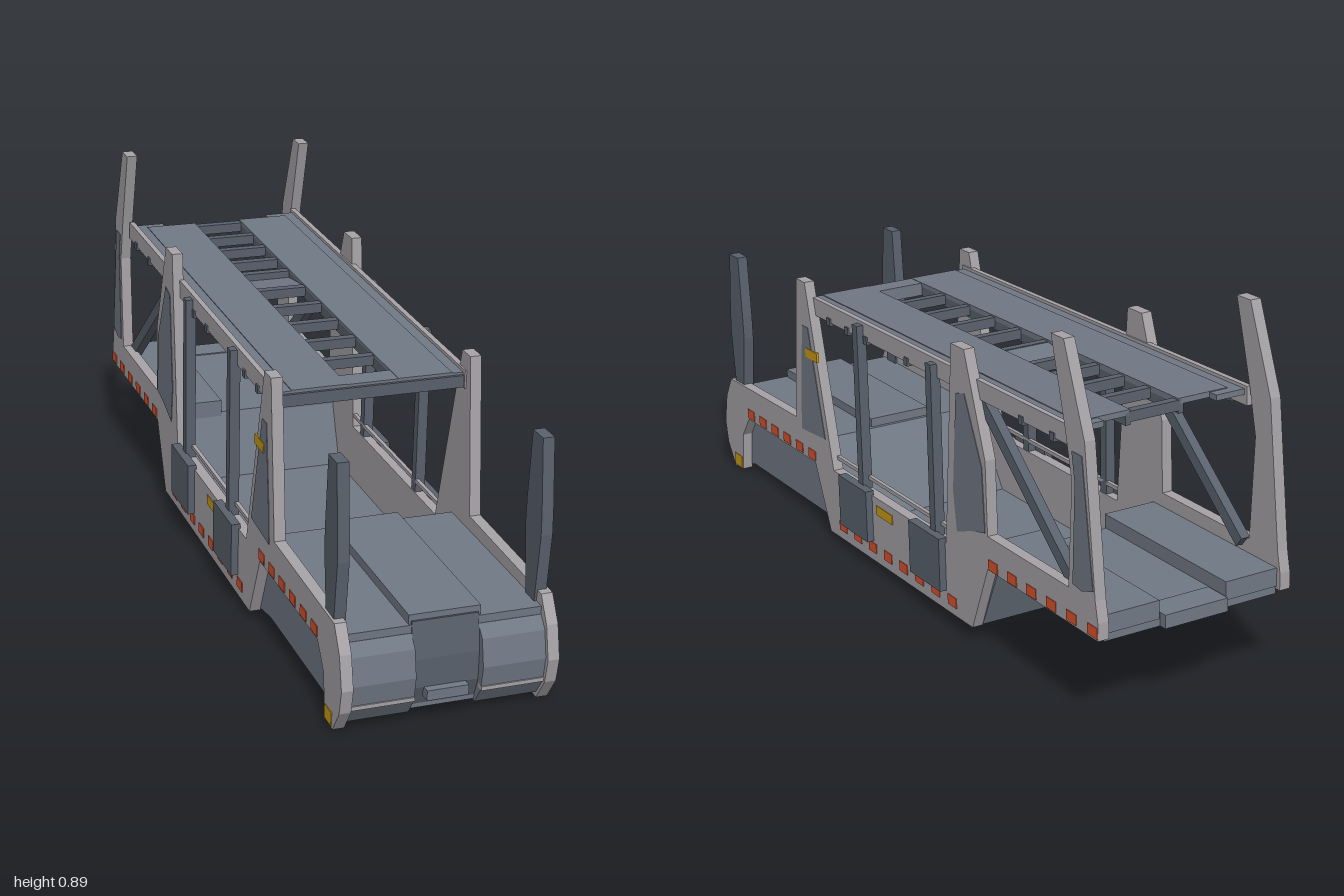
import * as THREE from 'three';

const mat = (name, color, side = THREE.FrontSide) => {
  const m = new THREE.MeshStandardMaterial({ color, side });
  m.name = name;
  return m;
};

export function createModel() {
  const light = mat('frame grey', 0xa6a2a6);
  const deckGrey = mat('deck grey', 0x707884);
  const steel = mat('dark steel', 0x59616c);
  const orange = mat('orange marker', 0xd8522e);
  const yellow = mat('yellow marker', 0xc89a12);

  const model = new THREE.Group();
  model.name = 'vehicleCarrier';
  const body = new THREE.Group();
  body.name = 'carrierBody';
  // the whole carrier stands turned and slightly tilted
  body.rotation.set(-0.012, -0.293, -0.028, 'YZX');
  body.position.y = -0.004;
  model.add(body);

  const add = (geo, m, name, parent = body) => {
    const mesh = new THREE.Mesh(geo, m);
    mesh.name = name;
    parent.add(mesh);
    return mesh;
  };
  // side profile [length, height] extruded across the width from z0 to z1
  const slab = (pts, z0, z1, m, name, parent) => {
    const shape = new THREE.Shape(pts.map((p) => new THREE.Vector2(p[0], p[1])));
    const geo = new THREE.ExtrudeGeometry(shape, { depth: z1 - z0, bevelEnabled: false });
    geo.translate(0, 0, z0);
    return add(geo, m, name, parent);
  };
  // box given by its limits
  const box = (x0, x1, y0, y1, z0, z1, m, name, parent) => {
    const geo = new THREE.BoxGeometry(x1 - x0, y1 - y0, z1 - z0);
    geo.translate((x0 + x1) / 2, (y0 + y1) / 2, (z0 + z1) / 2);
    return add(geo, m, name, parent);
  };
  // the same slab or box on both sides
  const slab2 = (pts, z0, z1, m, name, parent) => {
    slab(pts, z0, z1, m, name + 'Left', parent);
    slab(pts, -z1, -z0, m, name + 'Right', parent);
  };
  const box2 = (x0, x1, y0, y1, z0, z1, m, name, parent) => {
    box(x0, x1, y0, y1, z0, z1, m, name + 'Left', parent);
    box(x0, x1, y0, y1, -z1, -z0, m, name + 'Right', parent);
  };

  // side frames: beam, three pillars, wheel arch and end leg in one outline
  slab2([
    [-0.972, 0.208], [-0.505, 0.211], [-0.427, 0.033], [0.31, 0.03], [0.385, 0.2],
    [0.795, 0.2], [0.84, 0.14], [0.853, 0.034], [0.905, 0.03], [0.945, 0.09],
    [0.956, 0.15], [0.937, 0.23], [0.9, 0.29], [0.488, 0.298],
    [0.447, 0.691], [0.398, 0.691], [0.278, 0.21],
    [-0.31, 0.21], [-0.36, 0.727], [-0.42, 0.727], [-0.505, 0.48], [-0.508, 0.295],
    [-0.855, 0.295], [-0.873, 0.55], [-0.85, 0.66], [-0.797, 0.865], [-0.848, 0.865],
    [-0.926, 0.655], [-0.962, 0.3], [-0.972, 0.25],
  ], 0.232, 0.26, light, 'sideFrame');

  // inset panels on the pillars
  const panels = [
    [[-0.955, 0.32], [-0.91, 0.305], [-0.874, 0.31], [-0.887, 0.55], [-0.876, 0.62], [-0.916, 0.62]],
    [[-0.498, 0.3], [-0.438, 0.285], [-0.367, 0.26], [-0.354, 0.36], [-0.379, 0.61], [-0.418, 0.62], [-0.49, 0.46]],
    [[0.318, 0.285], [0.453, 0.275], [0.447, 0.36], [0.422, 0.57], [0.39, 0.57]],
  ];
  panels.forEach((p, i) => slab2(p, 0.256, 0.2615, deckGrey, 'pillarPanel' + (i + 1)));

  // orange dashes and yellow plates on the sides
  const dashes = (start, step, count, y, name) => {
    for (let i = 0; i < count; i++) {
      const x = start + i * step;
      box2(x - 0.02, x + 0.02, y - 0.013, y + 0.013, 0.256, 0.262, orange, name + (i + 1));
    }
  };
  dashes(-0.951, 0.084, 6, 0.226, 'rearDash');
  dashes(-0.333, 0.081, 8, 0.067, 'middleDash');
  dashes(0.4, 0.075, 6, 0.218, 'frontDash');
  box2(-0.04, 0.043, 0.165, 0.19, 0.256, 0.262, yellow, 'middlePlate');
  box2(0.342, 0.407, 0.488, 0.513, 0.256, 0.263, yellow, 'pillarPlate');
  box2(0.856, 0.9, 0.036, 0.07, 0.256, 0.262, yellow, 'footPlate');

  // lower deck: rear bed, sunken middle and raised front
  slab([
    [-0.955, 0.195], [-0.505, 0.195], [-0.43, 0.036], [0.31, 0.036], [0.39, 0.05], [0.9, 0.05],
    [0.905, 0.262], [0.38, 0.262], [0.25, 0.06], [-0.41, 0.06], [-0.475, 0.225], [-0.955, 0.225],
  ], -0.233, 0.233, deckGrey, 'lowerDeck');
  box2(-0.96, -0.47, 0.215, 0.26, 0.09, 0.233, deckGrey, 'rearTrack');
  box(-0.975, -0.9, 0.195, 0.228, -0.085, 0.085, deckGrey, 'rearTongue');
  box(0.39, 0.9, 0.255, 0.285, -0.086, 0.086, deckGrey, 'frontCentreDeck');
  box2(-0.32, 0.3, 0.235, 0.245, 0.234, 0.244, light, 'guardRail');

  // rounded end with a recessed middle
  slab2([
    [0.84, 0.045], [0.905, 0.045], [0.935, 0.09], [0.944, 0.15], [0.93, 0.215], [0.905, 0.242], [0.84, 0.242],
  ], 0.08, 0.233, deckGrey, 'endDrum');
  slab([
    [0.88, 0.06], [0.9, 0.06], [0.918, 0.11], [0.918, 0.18], [0.905, 0.27], [0.88, 0.27],
  ], -0.08, 0.08, steel, 'endRecess');
  box(0.9, 0.938, 0.085, 0.11, -0.05, 0.05, deckGrey, 'endLatch');
  box2(0.92, 0.94, 0.09, 0.1, 0.08, 0.233, light, 'endStrip');

  // tapered end posts
  slab2([
    [0.831, 0.26], [0.877, 0.26], [0.893, 0.43], [0.89, 0.49], [0.873, 0.658],
    [0.82, 0.658], [0.81, 0.49], [0.809, 0.43],
  ], 0.226, 0.254, steel, 'endPost');

  // lift posts with their side boxes
  [-0.23, 0.142].forEach((x, i) => {
    box2(x - 0.075, x + 0.075, 0.085, 0.222, 0.255, 0.278, steel, 'liftBox' + (i + 1));
    box2(x - 0.029, x - 0.003, 0.2, 0.645, 0.234, 0.26, steel, 'liftPost' + (i + 1));
  });

  // diagonal braces at the rear
  for (const s of [1, -1]) {
    const a = new THREE.Vector2(-0.84, 0.285);
    const b = new THREE.Vector2(-0.425, 0.63);
    const brace = add(new THREE.BoxGeometry(a.distanceTo(b), 0.032, 0.024), steel, 'diagonalBrace');
    brace.position.set((a.x + b.x) / 2, (a.y + b.y) / 2, s * 0.226);
    brace.rotation.z = Math.atan2(b.y - a.y, b.x - a.x);
  }

  // upper deck: two tracks joined by rungs
  const upper = new THREE.Group();
  upper.name = 'upperDeck';
  upper.position.y = 0.644;
  upper.rotation.z = -0.01;
  body.add(upper);
  box2(-0.835, 0.418, -0.012, 0.002, 0.15, 0.236, deckGrey, 'outerTrack', upper);
  box2(-0.81, 0.418, -0.01, 0.004, 0.064, 0.2, deckGrey, 'innerTrack', upper);
  box2(-0.845, 0.43, -0.036, 0.01, 0.228, 0.242, light, 'sideBeam', upper);
  box2(-0.81, 0.418, -0.032, -0.004, 0.064, 0.078, steel, 'innerBeam', upper);
  const rungs = [-0.8, -0.69, -0.585, -0.48, -0.385, -0.255, -0.13, -0.005, 0.12, 0.245];
  rungs.forEach((x, i) => {
    box(x - 0.011, x + 0.011, -0.025, 0, -0.07, 0.07, steel, 'rung' + (i + 1), upper);
  });
  const flap = box(-0.055, 0.055, -0.005, 0.005, -0.064, 0.064, deckGrey, 'centreFlap', upper);
  flap.position.set(-0.32, -0.015, 0);
  flap.rotation.z = 0.15;
  box(0.36, 0.418, -0.03, 0.003, -0.07, 0.07, deckGrey, 'endPlate', upper);
  box(0.395, 0.425, -0.034, -0.004, -0.23, 0.23, steel, 'endBeam', upper);
  [-0.77, -0.64, -0.22, -0.11, 0.1, 0.2, 0.3].forEach((x, i) => {
    box2(x - 0.009, x + 0.009, -0.044, -0.024, 0.23, 0.246, steel, 'pin' + (i + 1), upper);
  });

  return model;
}
